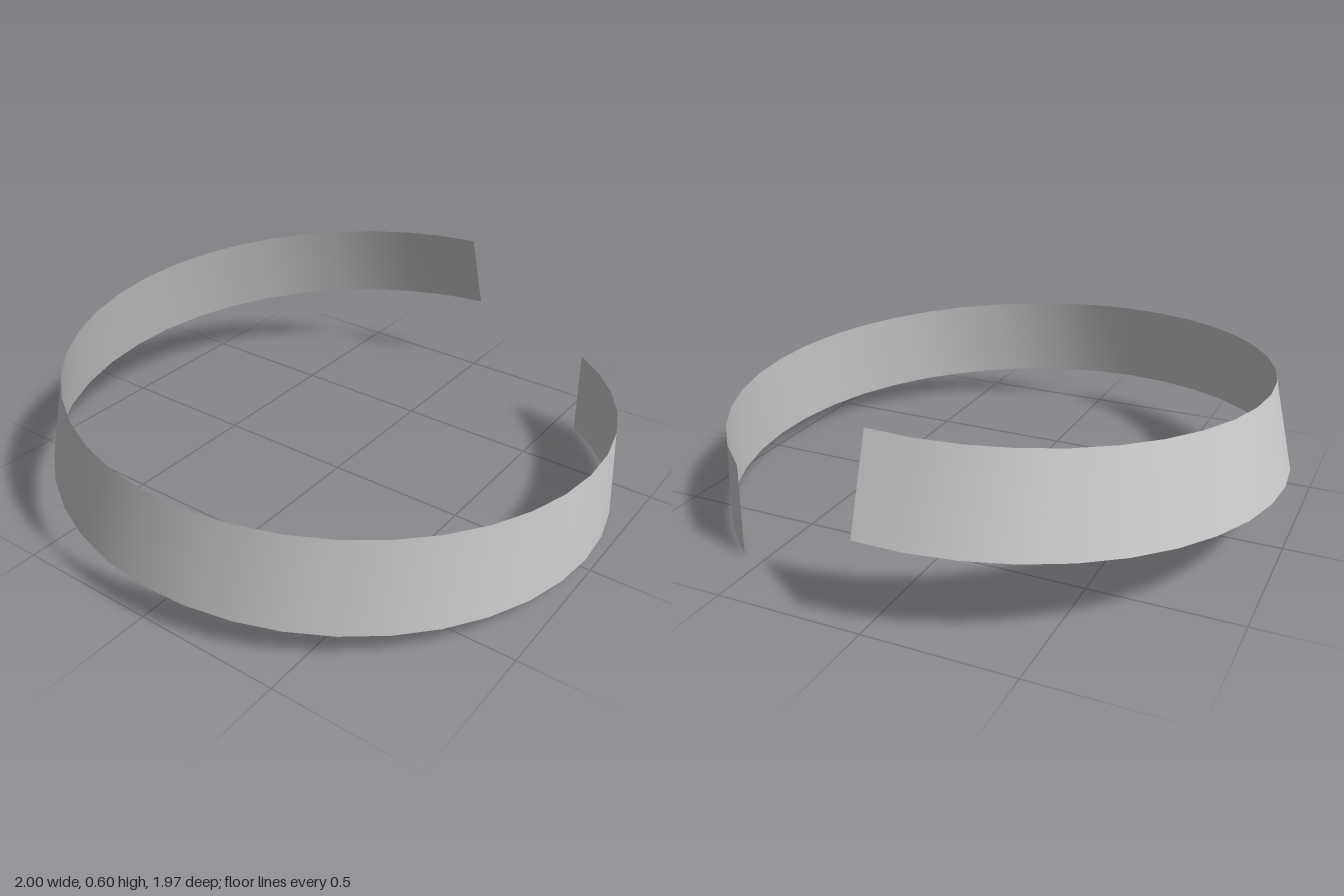
import * as THREE from 'three';

const TURN = 0.9 * Math.PI * 2;   // sweep of the open ring
const RADIUS = 0.962;             // radius of the ribbon's middle line
const WIDTH = 0.316;
const TILT = [18.4, 1];           // inward lean at the high and low ends, degrees
const HEIGHT = [0.45, 0.158];     // middle line height at both ends
const { lerp, degToRad } = THREE.MathUtils;

export function createModel() {
  // Flat strip wound into a descending, gradually untwisting helix
  const geometry = new THREE.PlaneGeometry(1, 1, 36, 1);
  const pos = geometry.attributes.position;
  for (let i = 0; i < pos.count; i++) {
    const t = pos.getX(i) + 0.5;
    const across = pos.getY(i) * WIDTH;
    const tilt = degToRad(lerp(TILT[0], TILT[1], t));
    const r = RADIUS - across * Math.sin(tilt);
    const y = lerp(HEIGHT[0], HEIGHT[1], t) + across * Math.cos(tilt);
    pos.setXYZ(i, r * Math.cos(t * TURN) - 0.016, y, -r * Math.sin(t * TURN) + 0.014);
  }
  geometry.computeVertexNormals();

  const ribbon = new THREE.Mesh(
    geometry,
    new THREE.MeshStandardMaterial({ color: 0xcccccc, side: THREE.DoubleSide })
  );
  ribbon.name = 'helicalRibbon';

  const group = new THREE.Group();
  group.name = 'ribbonRing';
  group.add(ribbon);
  return group;
}
